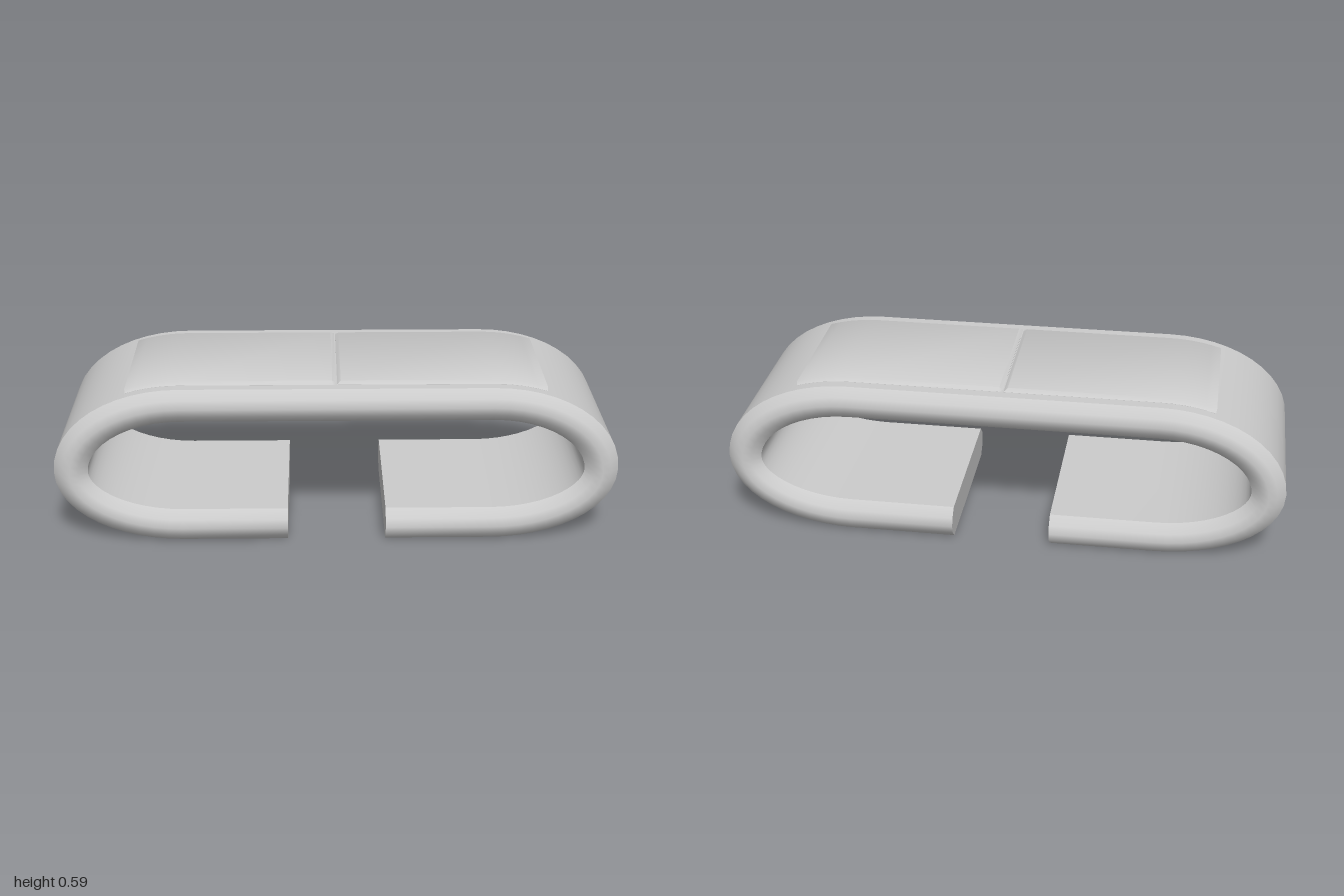
import * as THREE from 'three';
import { toCreasedNormals } from 'three/addons/utils/BufferGeometryUtils.js';

const HALF = 0.06;                 // half the band thickness
const CX = 0.55, CY = 0.27;        // centre of the rounded end
const RX = 0.39, TOP = 0.25, BOTTOM = 0.21;

// Station on the centreline of the right-hand rounded end: position and outward normal
function bend(angle) {
  const c = Math.cos(angle), s = Math.sin(angle), ry = s < 0 ? BOTTOM : TOP;
  const n = new THREE.Vector2(c / RX, s / ry).normalize();
  return { x: CX + RX * c, y: CY + ry * s, nx: n.x, ny: n.y };
}

const mirror = (p) => ({ ...p, x: -p.x, nx: -p.nx });

// Sweeps a closed [height, z] section along stations and caps both ends
function sweep(stations, sectionAt) {
  const position = [], index = [];
  const count = sectionAt(0).length, last = (stations.length - 1) * count;
  stations.forEach((p, i) => {
    for (const [h, z] of sectionAt(i)) position.push(p.x + p.nx * h, p.y + p.ny * h, z);
  });
  for (let i = 0; i < stations.length - 1; i++) {
    for (let j = 0; j < count; j++) {
      const k = (j + 1) % count, a = i * count, b = a + count;
      index.push(a + j, b + j, b + k, a + j, b + k, a + k);
    }
  }
  for (let j = 1; j < count - 1; j++) {
    index.push(0, j, j + 1, last, last + j + 1, last + j);
  }
  const geometry = new THREE.BufferGeometry();
  geometry.setAttribute('position', new THREE.Float32BufferAttribute(position, 3));
  geometry.setIndex(index);
  return toCreasedNormals(geometry, THREE.MathUtils.degToRad(40));
}

export function createModel() {
  const group = new THREE.Group();
  const material = new THREE.MeshStandardMaterial({ color: 0xcccccc });
  const add = (name, geometry) => {
    const mesh = new THREE.Mesh(geometry, material);
    mesh.name = name;
    group.add(mesh);
    return mesh;
  };

  // Open C-shaped band with rounded rims
  const right = [{ x: 0.175, y: CY - BOTTOM, nx: 0, ny: -1 }];
  const steps = 24;
  for (let i = 0; i <= steps; i++) right.push(bend(Math.PI * (i / steps - 0.5)));
  const path = [...right, ...right.map(mirror).reverse()];
  const rim = [[HALF, 0.3], [0.03, 0.33], [0, 0.34], [-0.03, 0.33], [-HALF, 0.3]];
  const section = [...rim, ...rim.map(([h, z]) => [h, -z]).reverse()];
  add('band', sweep(path, () => section));

  // Thin raised plates on top, following the bend, with a V groove between them
  const plate = [];
  for (let i = 0; i <= 5; i++) {
    plate.push(bend(THREE.MathUtils.degToRad(64 + (26 * i) / 5)));
  }
  for (const x of [0.015, 0.002]) plate.push({ x, y: CY + TOP, nx: 0, ny: 1 });
  const plateSection = (i) => {
    const top = i === plate.length - 1 ? 0.061 : 0.07;
    const side = Math.min(top, 0.0605);
    return [[0.05, -0.262], [side, -0.262], [top, -0.245],
      [top, 0.245], [side, 0.262], [0.05, 0.262]];
  };
  const plateGeometry = sweep(plate, plateSection);
  add('leftPlate', plateGeometry);
  add('rightPlate', plateGeometry).rotation.y = Math.PI;

  return group;
}
